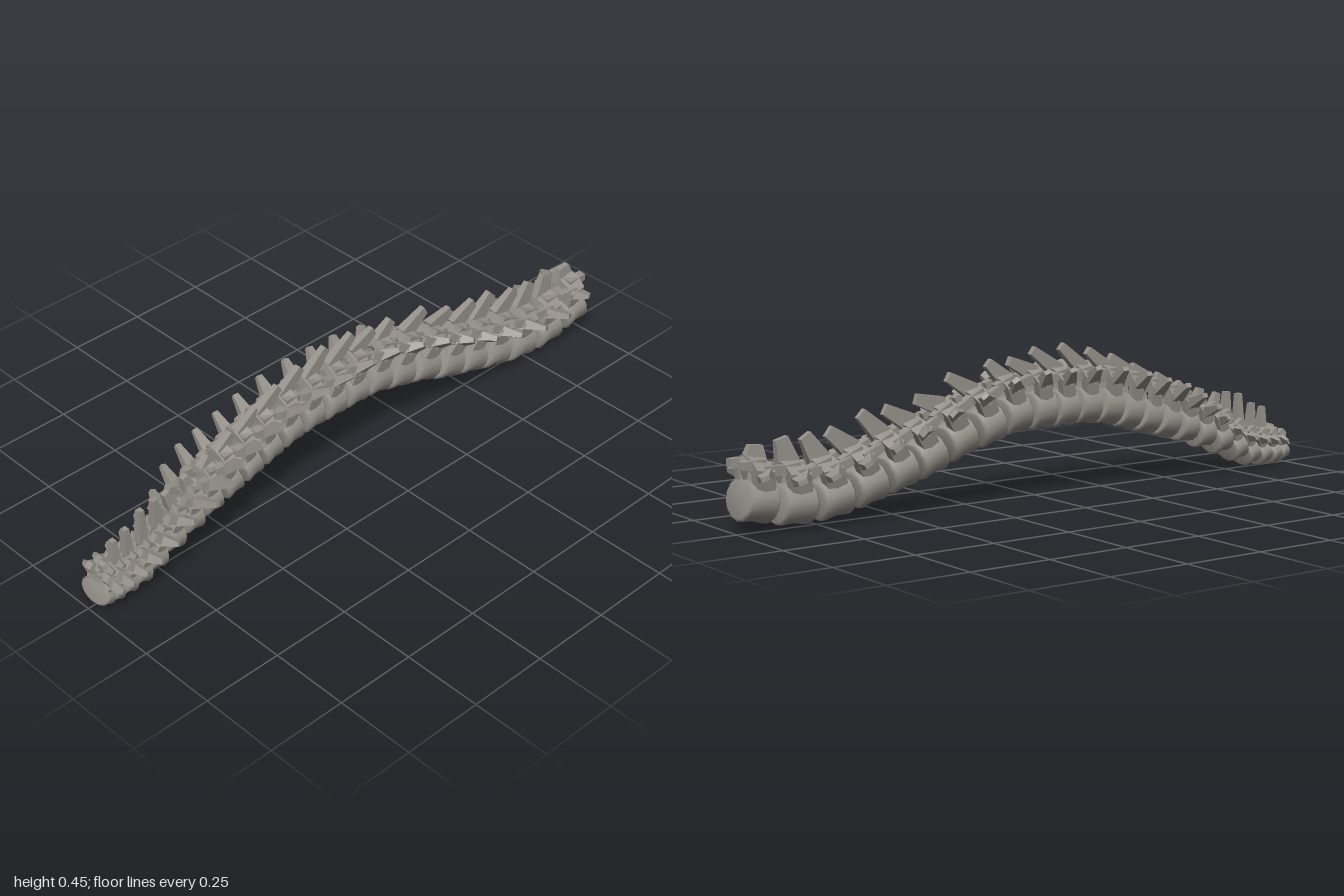
import * as THREE from 'three';

const faceted = new THREE.MeshStandardMaterial({ color: 0x96918a, flatShading: true });
const smooth = new THREE.MeshStandardMaterial({ color: 0x96918a });

// One entry per vertebra, neck to tail: body z, body underside y, spine tip z, spine tip y
const VERTEBRAE = [
  [0.96, 0.01, 0.94, 0.13], [0.925, 0.005, 0.90, 0.19], [0.88, 0.005, 0.855, 0.205],
  [0.83, 0.01, 0.80, 0.24], [0.775, 0.03, 0.75, 0.25], [0.71, 0.06, 0.71, 0.25],
  [0.64, 0.085, 0.64, 0.27],
  [0.57, 0.11, 0.545, 0.295], [0.495, 0.13, 0.46, 0.325], [0.42, 0.15, 0.365, 0.36],
  [0.345, 0.17, 0.28, 0.395], [0.265, 0.19, 0.195, 0.42], [0.18, 0.2, 0.095, 0.44],
  [0.095, 0.2, -0.01, 0.435], [0.01, 0.2, -0.095, 0.41], [-0.085, 0.195, -0.17, 0.41],
  [-0.18, 0.17, -0.31, 0.38], [-0.285, 0.14, -0.42, 0.325], [-0.39, 0.1, -0.525, 0.305],
  [-0.49, 0.07, -0.605, 0.3], [-0.595, 0.04, -0.71, 0.26], [-0.71, 0.015, -0.785, 0.255],
  [-0.83, 0.01, -0.86, 0.255], [-0.948, 0.03, -0.94, 0.245],
];

// Piecewise-linear value along the column; keys are [index, value]
function along(i, keys) {
  for (let k = 1; k < keys.length; k++) {
    const [a, va] = keys[k - 1], [b, vb] = keys[k];
    if (i <= b) return va + (vb - va) * (i - a) / (b - a);
  }
  return keys[keys.length - 1][1];
}

// Tapered four-sided bar from a to b; sizes are [width, depth]
function bar(name, a, b, size0, size1) {
  const geo = new THREE.BoxGeometry(1, 1, 1);
  const pos = geo.attributes.position;
  const dir = new THREE.Vector3().subVectors(b, a);
  for (let i = 0; i < pos.count; i++) {
    const s = pos.getY(i) > 0 ? size1 : size0;
    pos.setXYZ(i, pos.getX(i) * s[0], (pos.getY(i) + 0.5) * dir.length(), pos.getZ(i) * s[1]);
  }
  geo.computeVertexNormals();
  const mesh = new THREE.Mesh(geo, faceted);
  mesh.name = name;
  mesh.position.copy(a);
  mesh.quaternion.setFromUnitVectors(new THREE.Vector3(0, 1, 0), dir.normalize());
  return mesh;
}

// Waisted drum lying along z, flattened on the canal side
function body(rx, ry, half) {
  const profile = [[0, -1], [0.86, -0.98], [1, -0.8], [0.92, 0], [1, 0.8], [0.86, 0.98], [0, 1]]
    .map(([r, h]) => new THREE.Vector2(r, h));
  const geo = new THREE.LatheGeometry(profile, 14);
  geo.rotateX(Math.PI / 2);
  const pos = geo.attributes.position;
  for (let i = 0; i < pos.count; i++) {
    pos.setXYZ(i, pos.getX(i) * rx, Math.min(pos.getY(i), 0.8) * ry, pos.getZ(i) * half);
  }
  geo.computeVertexNormals();
  const mesh = new THREE.Mesh(geo, smooth);
  mesh.name = 'vertebralBody';
  return mesh;
}

// Ring of bone around the canal, leaning back as it rises
function arch(rx, ry, half, height) {
  const base = ry * 0.4, top = ry + height;
  const shape = new THREE.Shape([
    [-rx * 0.75, base], [rx * 0.75, base], [rx * 0.9, ry + height * 0.4],
    [rx * 0.6, ry + height * 0.75], [0, top], [-rx * 0.6, ry + height * 0.75], [-rx * 0.9, ry + height * 0.4],
  ].map(p => new THREE.Vector2(...p)));
  shape.holes.push(new THREE.Path([
    [-rx * 0.4, ry * 0.75], [-rx * 0.5, ry + height * 0.35], [0, ry + height * 0.65],
    [rx * 0.5, ry + height * 0.35], [rx * 0.4, ry * 0.75],
  ].map(p => new THREE.Vector2(...p))));
  const geo = new THREE.ExtrudeGeometry(shape, { depth: half * 1.2, bevelEnabled: false });
  const pos = geo.attributes.position;
  for (let i = 0; i < pos.count; i++) {
    pos.setZ(i, pos.getZ(i) - half * 0.5 - (pos.getY(i) - base) * 0.25);
  }
  geo.computeVertexNormals();
  const mesh = new THREE.Mesh(geo, faceted);
  mesh.name = 'neuralArch';
  return mesh;
}

function vertebra(i) {
  const [z, low, tipZ, tipY] = VERTEBRAE[i];
  const prev = VERTEBRAE[Math.max(i - 1, 0)], next = VERTEBRAE[Math.min(i + 1, 23)];
  const spacing = (prev[0] - next[0]) / (i % 23 ? 2 : 1);
  const half = i === 23 ? 0.048 : spacing * 0.45;
  const rx = along(i, [[0, 0.06], [6, 0.058], [10, 0.06], [16, 0.066], [23, 0.078]]);
  const ry = along(i, [[0, 0.036], [6, 0.05], [10, 0.06], [23, 0.063]]);
  const height = along(i, [[0, 0.05], [6, 0.06], [10, 0.065], [23, 0.06]]);

  const g = new THREE.Group();
  g.name = (i < 7 ? 'neck' : i < 19 ? 'chest' : 'lowerBack') + 'Vertebra' + (i + 1);
  g.position.set(0, low + ry, z);
  const slope = Math.atan2(next[1] - prev[1], prev[0] - next[0]);
  g.rotation.x = i < 8 ? along(i, [[0, -0.3], [4, -0.25], [8, 0.2]]) : slope;
  g.updateMatrixWorld();

  g.add(body(rx, ry, half), arch(rx, ry, half, height));

  // Spine blade on top of the arch
  const tip = g.worldToLocal(new THREE.Vector3(0, tipY, tipZ));
  const root = new THREE.Vector3(0, ry + height * 0.72, -half * 0.3);
  const deep = along(i, [[0, 0.02], [7, 0.03], [16, 0.04], [23, 0.055]]);
  g.add(bar('spineBlade', root, tip, [0.03, deep * 1.3], [0.018, deep * 0.75]));

  // Paired side wings and joint prongs
  const reach = along(i, [[0, 0.088], [5, 0.095], [6, 0.12], [7, 0.122], [8, 0.108], [12, 0.1],
    [16, 0.08], [18, 0.085], [20, 0.108], [22, 0.115], [23, 0.1]]);
  const wingY = along(i, [[0, 0.04], [4, 0.07], [8, 0.115], [14, 0.12], [19, 0.085], [23, 0.07]]);
  for (const s of [1, -1]) {
    const v = (x, y, dz) => new THREE.Vector3(s * x, y, dz);
    g.add(
      bar('sideWing', v(rx * 0.5, ry + height * 0.2, 0), v(reach, wingY, -half * 0.6),
        [0.036, half * 1.3], [0.014, half * 0.5]),
      bar('upperJoint', v(rx * 0.65, ry + height * 0.3, -half * 0.2), v(rx * 0.62, ry + height * 0.55, half * 1.15),
        [0.03, 0.035], [0.02, 0.022]),
      bar('lowerJoint', v(rx * 0.4, ry + height * 0.65, 0), v(rx * 0.42, ry + height * 0.5, -half * 1.5),
        [0.032, 0.034], [0.026, 0.022]),
    );
  }
  return g;
}

export function createModel() {
  const model = new THREE.Group();
  model.name = 'spine';
  VERTEBRAE.forEach((_, i) => model.add(vertebra(i)));
  return model;
}
